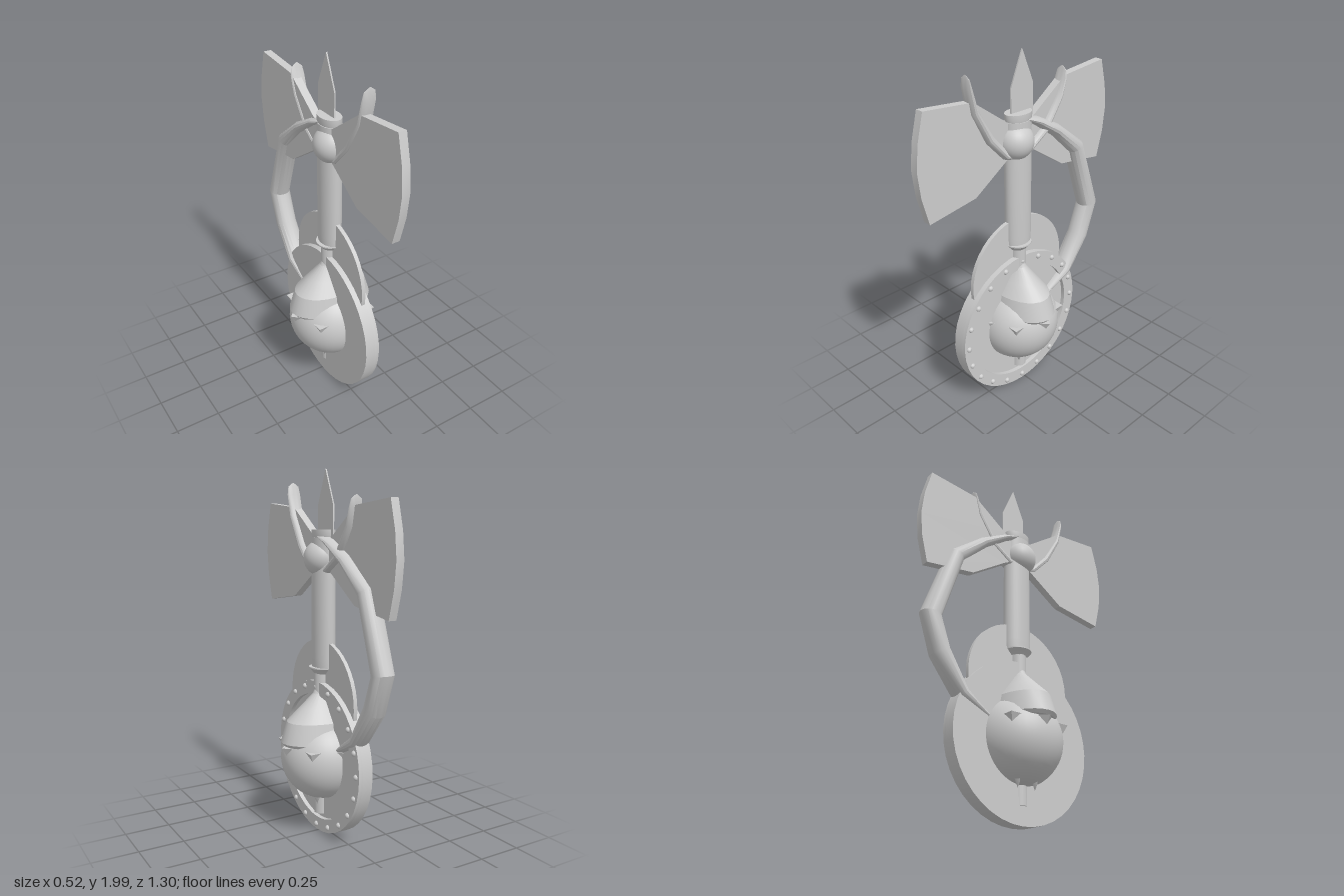
import * as THREE from 'three';
import { toCreasedNormals } from 'three/addons/utils/BufferGeometryUtils.js';

const grey = new THREE.MeshStandardMaterial({ color: 0xcccccc, side: THREE.DoubleSide });
const ZC = 0.017; // axis of the shaft and shield

export function createModel() {
  const model = new THREE.Group();

  function add(name, geometry, x = 0, y = 0, z = 0, crease = 0) {
    const mesh = new THREE.Mesh(crease ? toCreasedNormals(geometry, crease) : geometry, grey);
    mesh.name = name;
    mesh.position.set(x, y, z);
    model.add(mesh);
    return mesh;
  }

  // Flat plate from [z, y] outline, thickened along x
  function plate(name, outline, thick, x, holeRadius) {
    const shape = new THREE.Shape(outline.map(([z, y]) => new THREE.Vector2(z, y)));
    if (holeRadius) shape.holes.push(new THREE.Path().absarc(0, 0, holeRadius, 0, Math.PI * 2, true));
    const g = new THREE.ExtrudeGeometry(shape, { depth: thick, bevelEnabled: false, curveSegments: 24 });
    g.translate(0, 0, -thick / 2).rotateY(-Math.PI / 2);
    return add(name, g, x, 0, 0, 0.4);
  }

  // Tapered band through [z, y, half width in x, half thickness] stations
  function band(name, path, sides = 14) {
    const pos = [], idx = [];
    path.forEach(([z, y, hx, ht], i) => {
      const a = path[Math.max(i - 1, 0)], b = path[Math.min(i + 1, path.length - 1)];
      const t = new THREE.Vector2(b[0] - a[0], b[1] - a[1]).normalize();
      for (let j = 0; j < sides; j++) {
        const ang = (j / sides) * Math.PI * 2, s = ht * Math.sin(ang);
        pos.push(hx * Math.cos(ang), y + t.x * s, z - t.y * s);
        if (i === path.length - 1) continue;
        const p = i * sides + j, q = i * sides + (j + 1) % sides;
        idx.push(p, q, p + sides, q, q + sides, p + sides);
      }
    });
    const g = new THREE.BufferGeometry();
    g.setAttribute('position', new THREE.Float32BufferAttribute(pos, 3));
    g.setIndex(idx);
    return add(name, g, 0, 0, 0, 0.5);
  }

  // Turned part with an elliptical section
  function turned(name, profile, zScale, z = ZC, segments = 28) {
    const pts = profile.map(([r, y]) => new THREE.Vector2(r, y));
    const mesh = add(name, new THREE.LatheGeometry(pts, segments), 0, 0, z, 0.45);
    mesh.scale.z = zScale;
    return mesh;
  }

  // Round shield with raised rim and rivets on the left side
  const disc = add('shieldDisc', new THREE.CylinderGeometry(0.43, 0.43, 0.06, 40), -0.012, 0.44, 0.02);
  disc.rotation.z = Math.PI / 2;
  const circle = Array.from({ length: 40 }, (_, i) => {
    const a = (i / 40) * Math.PI * 2;
    return [0.43 * Math.sin(a), 0.43 * Math.cos(a)];
  }).reverse();
  plate('shieldRim', circle, 0.024, 0.03, 0.355).position.set(0.03, 0.44, 0.02);
  for (let i = 0; i < 20; i++) {
    const a = (i / 20) * Math.PI * 2;
    add('rivet', new THREE.SphereGeometry(0.016, 10, 8),
      0.04, 0.44 - 0.4 * Math.cos(a), 0.02 + 0.4 * Math.sin(a));
  }

  // Thin disc standing behind the shield
  const back = add('crestDisc', new THREE.CylinderGeometry(0.33, 0.33, 0.022, 40), 0, 0.77, 0.02);
  back.rotation.z = Math.PI / 2;

  // Globe with the hood over it
  add('globe', new THREE.SphereGeometry(0.236, 40, 28), 0, 0.44, ZC);
  turned('hood', [[0.215, 0.525], [0.238, 0.53], [0.252, 0.548], [0.217, 0.66], [0.14, 0.73],
    [0.06, 0.805], [0.05, 0.83]], 0.64);

  // Teeth around the globe, and small studs beneath it
  for (let i = 0; i < 8; i++) {
    const a = (i / 8) * Math.PI * 2;
    const tooth = add('tooth', new THREE.ConeGeometry(0.045, 0.075, 4).toNonIndexed(),
      0.215 * Math.sin(a), 0.485, ZC + 0.215 * Math.cos(a));
    tooth.rotation.set(Math.PI, -a, 0);
    tooth.geometry.computeVertexNormals();
  }
  for (const sx of [-1, 1]) for (const sz of [-1, 1]) {
    add('stud', new THREE.ConeGeometry(0.02, 0.045, 4), sx * 0.07, 0.208, ZC + sz * 0.055).rotation.x = Math.PI;
  }

  // Shaft: lower tang, collar, upper handle and cap
  turned('lowerShaft', [[0, 0.11], [0.052, 0.11], [0.052, 0.95]], 0.85);
  turned('collar', [[0.05, 0.915], [0.058, 0.925], [0.077, 0.945], [0.077, 0.952], [0.05, 0.952]], 1);
  turned('handle', [[0.056, 0.95], [0.058, 1.0], [0.058, 1.65], [0, 1.65]], 1.4, 0.013);
  turned('cap', [[0.052, 1.64], [0.056, 1.66], [0.056, 1.69], [0, 1.69]], 1.45, 0.01);

  // Spear point
  plate('spearPoint', [[-0.09, 1.64], [-0.09, 1.82], [-0.015, 2.0], [0.06, 1.82], [0.06, 1.64]], 0.008, 0);

  // Axe blades front and back
  for (const s of [1, -1]) {
    plate(s > 0 ? 'frontBlade' : 'backBlade', [[0, 1.6], [0.1, 1.66], [0.31, 1.81], [0.6, 1.838],
      [0.638, 1.69], [0.652, 1.555], [0.638, 1.42], [0.6, 1.272], [0.31, 1.315], [0.1, 1.455], [0, 1.51],
    ].map(([z, y]) => [s * z, y]), 0.045, -0.01);
  }

  // Round boss over the blades
  add('boss', new THREE.SphereGeometry(0.098, 28, 20), 0, 1.54, 0.03);

  // Curved horns
  band('frontHorn', [[-0.02, 1.46, 0.04, 0.002], [0.04, 1.46, 0.04, 0.018], [0.11, 1.485, 0.04, 0.024],
    [0.215, 1.6, 0.04, 0.028], [0.305, 1.76, 0.04, 0.022], [0.335, 1.88, 0.04, 0.012],
    [0.34, 1.925, 0.032, 0.005], [0.342, 1.945, 0.004, 0.001]]);
  band('backHorn', [[0.06, 1.46, 0.04, 0.002], [0, 1.46, 0.04, 0.018], [-0.06, 1.485, 0.04, 0.022],
    [-0.165, 1.555, 0.04, 0.025], [-0.268, 1.71, 0.04, 0.02], [-0.295, 1.8, 0.04, 0.012],
    [-0.302, 1.84, 0.032, 0.005], [-0.304, 1.862, 0.004, 0.001]]);

  // Long bowed guard from the head down to the globe
  band('guard', [[0.06, 1.667, 0.035, 0.002], [0, 1.66, 0.052, 0.01], [-0.1, 1.62, 0.06, 0.024],
    [-0.24, 1.535, 0.06, 0.036], [-0.41, 1.39, 0.06, 0.05], [-0.543, 1.0, 0.06, 0.057],
    [-0.478, 0.81, 0.06, 0.056], [-0.345, 0.62, 0.06, 0.038], [-0.19, 0.53, 0.045, 0.018],
    [-0.14, 0.51, 0.02, 0.004]], 16);

  return model;
}
